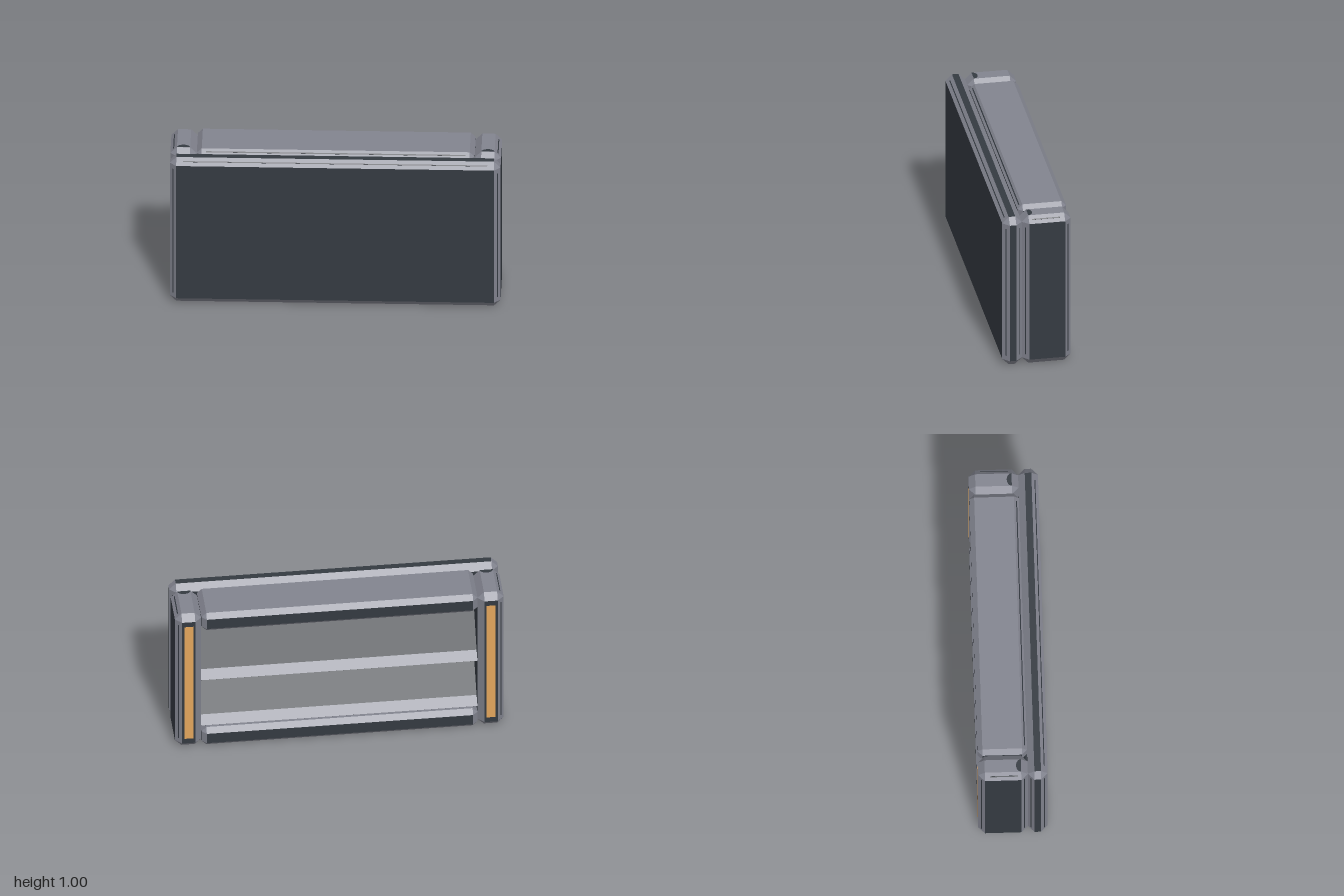
import * as THREE from 'three';

const material = (name, color) => {
  const m = new THREE.MeshStandardMaterial({ color });
  m.name = name;
  return m;
};

// Box with chamfered edges: group 0 is the flat faces, group 1 the bevels.
// Faces whose axis is listed in trimFaces (e.g. '+y') join the bevel colour.
function chamferBox(w, h, d, bevel, trimFaces = []) {
  const half = [w / 2, h / 2, d / 2];
  const buckets = [[], []];
  const corner = (signs, axis) => new THREE.Vector3(
    ...signs.map((s, i) => s * (half[i] - (i === axis ? 0 : bevel))));
  const addTriangle = (bucket, a, b, c, out) => {
    const normal = b.clone().sub(a).cross(c.clone().sub(a));
    const order = normal.dot(out) > 0 ? [a, b, c] : [a, c, b];
    order.forEach((p) => bucket.push(p.x, p.y, p.z));
  };
  for (let x = -1; x <= 1; x++) for (let y = -1; y <= 1; y++) for (let z = -1; z <= 1; z++) {
    const dir = [x, y, z];
    const out = new THREE.Vector3(x, y, z);
    const fixed = [0, 1, 2].filter((i) => dir[i] !== 0);
    const free = [0, 1, 2].filter((i) => dir[i] === 0);
    if (fixed.length === 0) continue;
    const at = (axis, s, t) => {
      const signs = dir.slice();
      if (free.length > 0) signs[free[0]] = s;
      if (free.length > 1) signs[free[1]] = t;
      return corner(signs, axis);
    };
    let quad;
    if (fixed.length === 3) {
      addTriangle(buckets[1], at(0), at(1), at(2), out);
      continue;
    } else if (fixed.length === 2) {
      const [a, b] = fixed;
      quad = [at(a, -1), at(a, 1), at(b, 1), at(b, -1)];
    } else {
      const a = fixed[0];
      quad = [at(a, -1, -1), at(a, 1, -1), at(a, 1, 1), at(a, -1, 1)];
    }
    const label = (dir[fixed[0]] > 0 ? '+' : '-') + 'xyz'[fixed[0]];
    const bucket = buckets[fixed.length === 2 || trimFaces.includes(label) ? 1 : 0];
    addTriangle(bucket, quad[0], quad[1], quad[2], out);
    addTriangle(bucket, quad[0], quad[2], quad[3], out);
  }
  const geometry = new THREE.BufferGeometry();
  geometry.setAttribute('position', new THREE.Float32BufferAttribute(buckets.flat(), 3));
  geometry.addGroup(0, buckets[0].length / 3, 0);
  geometry.addGroup(buckets[0].length / 3, buckets[1].length / 3, 1);
  geometry.computeVertexNormals();
  return geometry;
}

export function createModel() {
  const dark = material('dark panel', 0x343a41);
  const trim = material('grey trim', 0x82848f);
  const orange = material('orange strip', 0xe2a55c);
  const model = new THREE.Group();
  model.name = 'counter';

  const add = (name, geometry, mat, x, y, z) => {
    const mesh = new THREE.Mesh(geometry, mat);
    mesh.name = name;
    mesh.position.set(x, y, z);
    model.add(mesh);
    return mesh;
  };

  // Thin plate lying on a sloping face, turned to look along its normal
  const addPlate = (name, w, h, mat, position, normal) => {
    const plate = add(name, new THREE.BoxGeometry(w, h, 0.003), mat, ...position);
    plate.lookAt(plate.position.clone().add(new THREE.Vector3(...normal)));
  };

  // Broad front panel
  add('frontPanel', chamferBox(2, 1, 0.12, 0.04), [dark, trim], 0, 0.5, 0.15);
  addPlate('frontPanelTopSeam', 1.84, 0.006, dark, [0, 0.98, 0.19], [0, 1, 1]);

  for (const side of [1, -1]) {
    const name = side > 0 ? 'left' : 'right';

    // End posts with an orange strip down the back
    add(name + 'Post', chamferBox(0.16, 1, 0.3, 0.04, ['+y', '-y']), [dark, trim],
      side * 0.92, 0.5, -0.06);
    add(name + 'Strip', new THREE.BoxGeometry(0.055, 0.85, 0.004), orange,
      side * 0.918, 0.5, -0.209);

    // Dark half-round mark on top of each post
    const mark = new THREE.CircleGeometry(0.04, 12, 0, Math.PI);
    mark.scale(1, 0.75, 1).rotateX(-Math.PI / 2);
    add(name + 'PostMark', mark, dark, side * 0.92, 1.001, 0.05);

    // Fine seams along the outer bevels
    for (const [z, facing] of [[0.19, 1], [0.11, -1], [0.07, 1], [-0.19, -1]]) {
      addPlate(name + 'Seam', 0.007, 0.86, dark, [side * 0.98, 0.5, z], [side, 0, facing]);
    }
    addPlate(name + 'PostTopSeam', 0.17, 0.007, dark, [side * 0.98, 0.98, -0.055], [side, 1, 0]);
  }

  // Counter top and base slab
  add('counterTop', chamferBox(1.68, 0.13, 0.3, 0.03, ['+y']), [dark, trim], 0, 0.935, -0.06);
  addPlate('counterTopSeam', 1.57, 0.007, dark, [0, 0.985, 0.075], [0, 1, 1]);
  add('baseSlab', chamferBox(1.68, 0.13, 0.3, 0.03, ['+y']), [dark, trim], 0, 0.065, -0.06);

  // Sloping shelves: each runs down from deep inside to a bevelled lip at the back
  const shelves = [
    { name: 'upperShelf', top: 0.88, lip: 0.535 },
    { name: 'lowerShelf', top: 0.5, lip: 0.19 },
  ];
  for (const { name, top, lip } of shelves) {
    const profile = new THREE.Shape([
      [0.09, lip - 0.05], [0.09, top], [0.08, top], [-0.13, lip], [-0.175, lip - 0.05],
    ].map(([z, y]) => new THREE.Vector2(z, y)));
    const body = new THREE.ExtrudeGeometry(profile, { depth: 1.68, bevelEnabled: false });
    body.rotateY(-Math.PI / 2);
    add(name, body, dark, 0.84, 0, 0);
    addPlate(name + 'Lip', 1.68, Math.hypot(0.045, 0.05), trim,
      [0, lip - 0.025, -0.1525], [0, 0.045, -0.05]);
  }
  return model;
}
